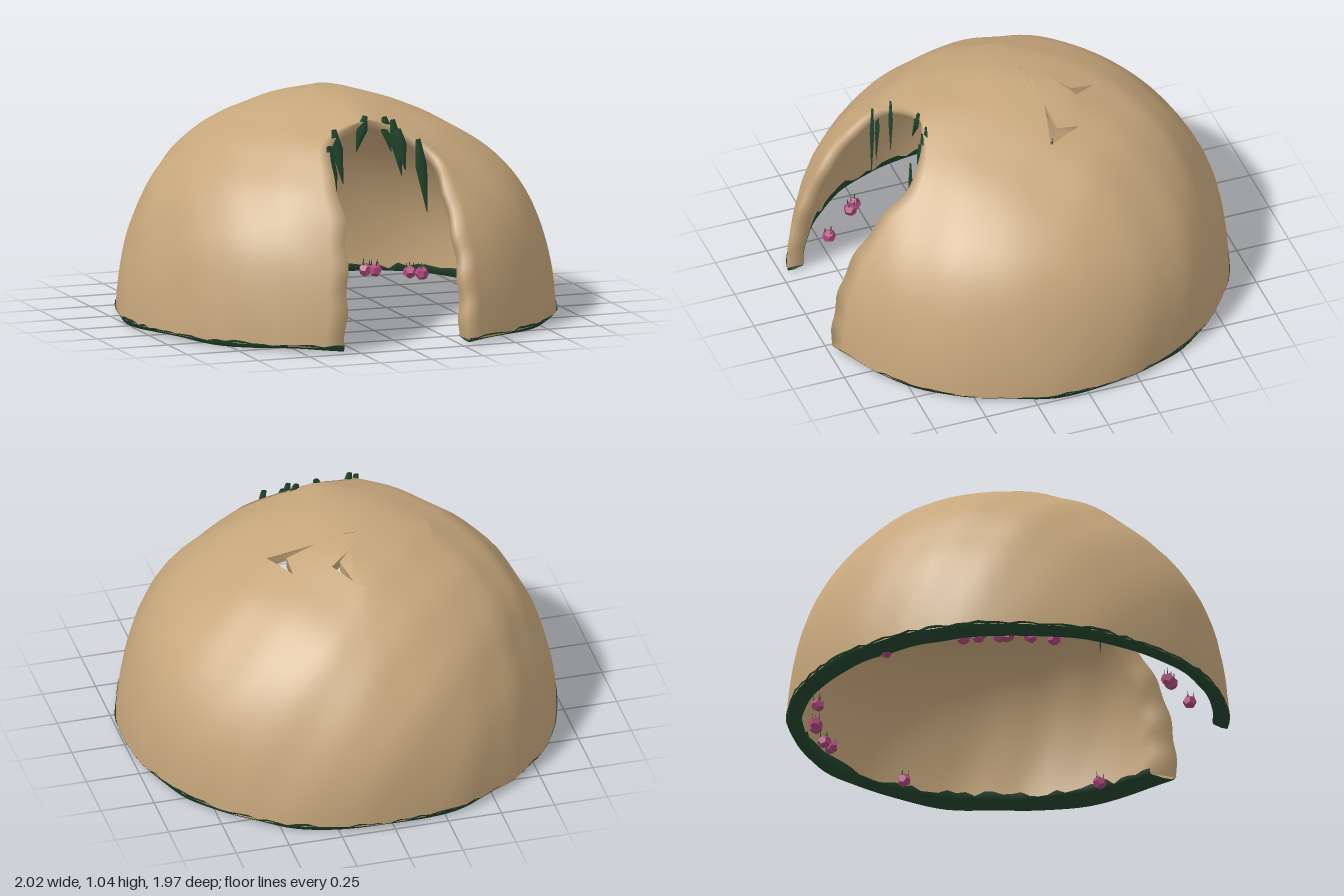
import * as THREE from 'three';
import { mergeVertices } from 'three/addons/utils/BufferGeometryUtils.js';

const clay = new THREE.MeshStandardMaterial({ color: 0xc7a77c, side: THREE.DoubleSide });
clay.name = 'clay';
const moss = new THREE.MeshStandardMaterial({ color: 0x24482f, side: THREE.DoubleSide });
moss.name = 'moss green';
const pink = new THREE.MeshStandardMaterial({ color: 0xb04a7c });
pink.name = 'bud pink';

const POW = 2.2, HEIGHT = 1.04, CAP = 0.43, DOOR_TOP = 0.957;
const jitter = (i) => { const s = Math.sin(i * 12.9898 + 4.1) * 43758.5453; return s - Math.floor(s); };
const heightAt = (r) => HEIGHT * Math.pow(Math.max(0, 1 - Math.pow(r, POW)), 1 / POW);

// Wall is thin at the roof and thicker at the foot, most of all along one diagonal
const thickness = (x, y, z) => 0.04 + (1 - y / HEIGHT) * (0.02 + 0.035 * (x + z) * (x + z));

// Uneven hand-built surface; inner runs from 0 outside to 1 inside
function place(x, y, z, inner = 0) {
  const k = 1 - inner * thickness(x, y, z);
  const b = 0.006 * Math.sin(6 * x + 3 * z + 1) * Math.sin(7 * y + 2)
    + 0.005 * Math.sin(11 * z - 5 * x) * Math.sin(9 * x + 4 * y)
    + 0.004 * Math.sin(17 * x + 9 * y) * Math.sin(15 * z + 2);
  const sag = 0.055 * y * Math.sin(Math.PI * Math.min(1, Math.max(0, x)));
  return [x * (k + b), y * (k + b) - sag, z * (k + b) * (z > 0 ? 1.02 : 0.985)];
}

// Distance of a door post from the middle at a height; the right post (-1) flares at its foot
function doorPost(y, end) {
  if (y >= DOOR_TOP) return 0;
  const flare = (end < 0 ? 0.055 : 0.012) * Math.max(0, 1 - y / 0.6);
  const side = 0.267 + flare + 0.006 * Math.sin(y * 31 + end);
  const t = Math.max(0, (y - 0.78) / (DOOR_TOP - 0.78));
  return side * Math.sqrt(1 - t * t);
}

// Angle round the dome, from one post (f = 0) to the other (f = 1)
function sweep(r, y, depth, f) {
  const [a, b] = [1, -1].map((end) => {
    const w = doorPost(y, end);
    return Math.asin(Math.min(1, w / (r * (1 - depth * thickness(end * w, y, r)))));
  });
  return a + (2 * Math.PI - a - b) * f;
}

function build(positions, indices) {
  let g = new THREE.BufferGeometry();
  g.setAttribute('position', new THREE.Float32BufferAttribute(positions, 3));
  if (indices) g.setIndex(indices);
  g = mergeVertices(g, 1e-4);
  g.computeVertexNormals();
  return g;
}

// Double wall with a doorway: each row is one loop round the outside and back inside
function wallGeometry() {
  const ROWS = 34, COLS = 72, W = 2 * (COLS + 1);
  const phi0 = 0.02, phi1 = Math.acos(Math.pow(CAP, POW / 2));
  const pos = [], idx = [], open = [];
  for (let i = 0; i <= ROWS; i++) {
    const phi = phi0 + (phi1 - phi0) * i / ROWS;
    const r = Math.pow(Math.cos(phi), 2 / POW), y = HEIGHT * Math.pow(Math.sin(phi), 2 / POW);
    open.push(y < DOOR_TOP);
    for (const inner of [0, 1]) {
      for (let j = 0; j <= COLS; j++) {
        const t = sweep(r, y, inner, (inner ? COLS - j : j) / COLS);
        pos.push(...place(r * Math.sin(t), y, r * Math.cos(t), inner));
      }
    }
  }
  for (let i = 0; i < ROWS; i++) {
    for (let j = 0; j < W; j++) {
      const jamb = j === COLS || j === W - 1;
      if (jamb && !open[i]) continue;
      const n = (j + 1) % W, a = i * W + j, b = i * W + n;
      idx.push(a, b, b + W, a, b + W, a + W);
    }
  }
  return build(pos, idx);
}

// Two crooked smoke holes, as x and z corners
const smokeHoles = [
  [[0.03, -0.39], [0.10, -0.28], [-0.03, -0.19], [0.06, -0.27]],
  [[0.27, -0.23], [0.35, -0.06], [0.13, -0.11], [0.27, -0.12]],
];
const holeScale = (inner) => 1 - inner * thickness(0, 1, 0);

// Roof cap: pierced disc, split finely and lifted onto the dome
function roofGeometry(inner) {
  const shape = new THREE.Shape(), k = holeScale(inner), R = CAP + 0.003;
  for (let i = 0; i < 72; i++) {
    const t = i / 72 * 2 * Math.PI;
    shape[i ? 'lineTo' : 'moveTo'](R * Math.cos(t), R * Math.sin(t));
  }
  for (const h of smokeHoles)
    shape.holes.push(new THREE.Path(h.map(([x, z]) => new THREE.Vector2(x / k, -z / k))));
  const p = new THREE.ShapeGeometry(shape).toNonIndexed().getAttribute('position');
  const pos = [];
  const put = (v) => pos.push(...place(v.x, heightAt(v.length()), -v.y, inner));
  const split = (a, b, c, n) => {
    if (!n) { [a, b, c].forEach(put); return; }
    const m = (u, v) => u.clone().add(v).multiplyScalar(0.5);
    const ab = m(a, b), bc = m(b, c), ca = m(c, a);
    split(a, ab, ca, n - 1); split(ab, b, bc, n - 1);
    split(ca, bc, c, n - 1); split(ab, bc, ca, n - 1);
  };
  for (let i = 0; i < p.count; i += 3) {
    const v = [0, 1, 2].map((n) => new THREE.Vector2(p.getX(i + n), p.getY(i + n)));
    if (inner) split(v[0], v[2], v[1], 3); else split(v[0], v[1], v[2], 3);
  }
  return build(pos);
}

// Thickness of the roof around a smoke hole
function holeEdgeGeometry(hole) {
  const pos = [], idx = [];
  hole.forEach(([x, z], i) => {
    for (const inner of [0, 1]) {
      const k = holeScale(inner);
      pos.push(...place(x / k, heightAt(Math.hypot(x, z) / k), z / k, inner));
    }
    const a = 2 * i, b = 2 * ((i + 1) % hole.length);
    idx.push(a, b, b + 1, a, b + 1, a + 1);
  });
  return build(pos, idx);
}

// Ragged mossy rim under the wall: sections of depth into the wall and height
function rimGeometry() {
  const COLS = 120, pos = [], idx = [];
  for (let j = 0; j <= COLS; j++) {
    const wave = 0.006 * Math.sin(j * 0.45);
    const section = [
      [-0.04, 0.03 + 0.016 * jitter(j)], [0.08, 0.016 + wave], [0.5, 0.016 + wave],
      [1.02, 0.024], [1.06, 0.03 + 0.035 * jitter(j + 300)],
    ];
    for (const [depth, y] of section) {
      const t = sweep(1, 0.03, depth, j / COLS);
      const [x, , z] = place(Math.sin(t), 0.03, Math.cos(t), depth);
      pos.push(x, y, z);
    }
    if (j < COLS) for (let s = 0; s < 4; s++) {
      const o = j * 5 + s;
      idx.push(o, o + 1, o + 6, o, o + 6, o + 5);
    }
  }
  return build(pos, idx);
}

// Flat hanging leaf from a top point to a tip
function leaf([x, y, z, tipX, tipY]) {
  const d = new THREE.Vector3(tipX - x, tipY - y, 0.015), L = d.length();
  const profile = [[0.002, -L / 2], [0.028, L * 0.12], [0.012, L / 2]];
  const g = new THREE.LatheGeometry(profile.map(([r, h]) => new THREE.Vector2(r, h)), 4);
  g.scale(1, 1, 0.4);
  const m = new THREE.Mesh(g, moss);
  m.name = 'hangingLeaf';
  m.position.set((x + tipX) / 2, (y + tipY) / 2, z);
  m.quaternion.setFromUnitVectors(new THREE.Vector3(0, -1, 0), d.normalize());
  return m;
}

// Small bud with thin stalks
function bud([x, z], i) {
  const g = new THREE.Group();
  g.name = 'bud';
  const body = new THREE.Mesh(new THREE.DodecahedronGeometry(0.032), pink);
  body.name = 'budBody';
  g.add(body);
  for (let s = 0; s < 3; s++) {
    const stalk = new THREE.Mesh(new THREE.ConeGeometry(0.004, 0.03, 3), moss);
    stalk.name = 'budStalk';
    stalk.position.set(0.018 * Math.cos(s * 2.1), 0.037, 0.018 * Math.sin(s * 2.1));
    g.add(stalk);
  }
  g.position.set(x, 0.036, z);
  g.rotation.y = i * 1.3;
  return g;
}

export function createModel() {
  const model = new THREE.Group();
  model.name = 'domeHut';
  const add = (name, geometry, material) => {
    const m = new THREE.Mesh(geometry, material);
    m.name = name;
    model.add(m);
  };
  add('wall', wallGeometry(), clay);
  add('outerRoof', roofGeometry(0), clay);
  add('innerRoof', roofGeometry(1), clay);
  smokeHoles.forEach((h) => add('smokeHoleEdge', holeEdgeGeometry(h), clay));
  add('mossRim', rimGeometry(), moss);

  // Leaves along the door arch: top x, y, z and tip x, y
  const leaves = [
    [-0.25, 0.89, 0.59, -0.22, 0.55], [-0.26, 0.87, 0.56, -0.24, 0.6],
    [-0.20, 0.95, 0.52, -0.16, 0.7], [-0.02, 0.99, 0.45, -0.07, 0.83],
    [0.07, 0.98, 0.45, 0.1, 0.82], [0.10, 0.97, 0.48, 0.14, 0.71],
    [0.12, 0.93, 0.5, 0.15, 0.74], [0.19, 0.89, 0.57, 0.23, 0.55],
  ];
  leaves.forEach((l) => model.add(leaf(l)));

  // Buds along the inside of the rim
  const buds = [
    [0.64, -0.58], [0.6, -0.63], [0.47, -0.73], [0.43, -0.75], [0.25, -0.82], [0.83, -0.13],
    [-0.4, -0.77], [-0.68, -0.51], [-0.72, -0.455], [-0.765, -0.37], [-0.78, -0.335],
    [-0.816, -0.237], [-0.84, -0.13], [-0.47, 0.71], [-0.62, 0.55], [-0.65, 0.52], [0.49, 0.69],
  ];
  buds.forEach((b, i) => model.add(bud(b, i)));
  return model;
}
